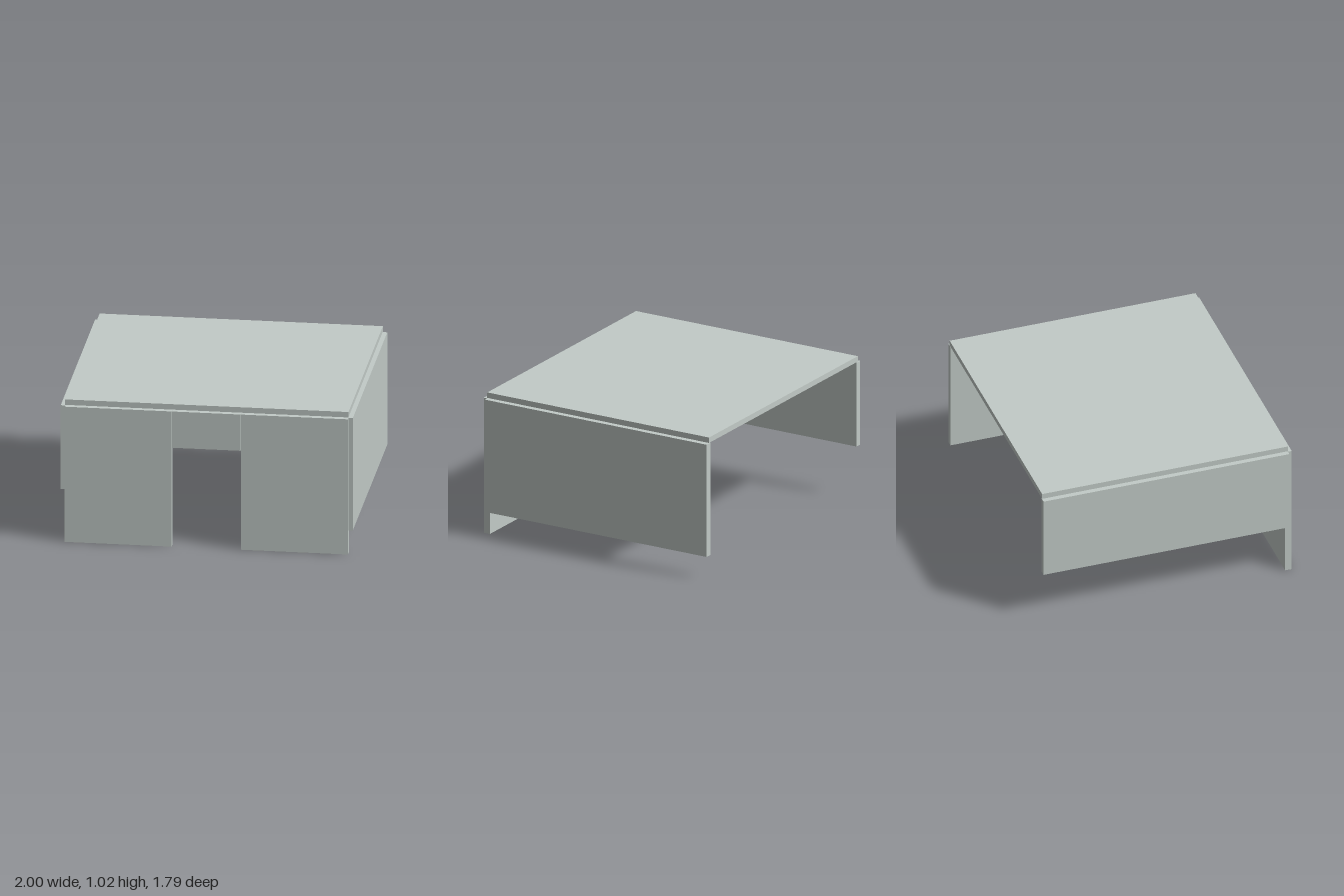
import * as THREE from 'three';

const panelMat = new THREE.MeshStandardMaterial({ color: 0xc2cbc7 });
const railMat = new THREE.MeshStandardMaterial({ color: 0x9a7140 });
const lipMat = new THREE.MeshStandardMaterial({ color: 0x555555 });

// Box given by its low and high corners
function slab(name, [x0, y0, z0], [x1, y1, z1], material = panelMat) {
  const mesh = new THREE.Mesh(new THREE.BoxGeometry(x1 - x0, y1 - y0, z1 - z0), material);
  mesh.name = name;
  mesh.position.set((x0 + x1) / 2, (y0 + y1) / 2, (z0 + z1) / 2);
  return mesh;
}

export function createModel() {
  const model = new THREE.Group();
  model.name = 'panelDesk';

  const back = -0.895, front = 0.895, sideFront = 0.868;
  const under = 0.977, panelTop = 0.973, thick = 0.047;

  // Top board, stepped in from the outer panel faces
  model.add(slab('topBoard', [-0.97, under, back], [0.97, 1.016, sideFront]));

  // Side panels, the right one shorter than the left
  model.add(slab('leftSidePanel', [1 - thick, 0.165, back], [1, panelTop, sideFront]));
  model.add(slab('rightSidePanel', [-1, 0.37, back], [-1 + thick, panelTop, sideFront]));

  // Front panels either side of the opening, with a header between them
  model.add(slab('leftFrontPanel', [0.237, 0, front - thick], [0.97, panelTop, front]));
  model.add(slab('rightFrontPanel', [-0.97, 0, front - thick], [-0.237, panelTop, front]));
  model.add(slab('frontHeader', [-0.235, 0.712, front - thick], [0.235, panelTop, front]));

  // Two small rails under the top, along the right side panel
  [[0.38, 0.84], [-0.37, 0.11]].forEach(([z0, z1]) => {
    const rail = new THREE.Group();
    rail.name = 'underRail';
    rail.add(slab('railStrip', [-0.953, 0.962, z0], [-0.915, under, z1], railMat));
    rail.add(slab('railLip', [-0.915, 0.957, z0], [-0.905, under, z1], lipMat));
    model.add(rail);
  });

  return model;
}
